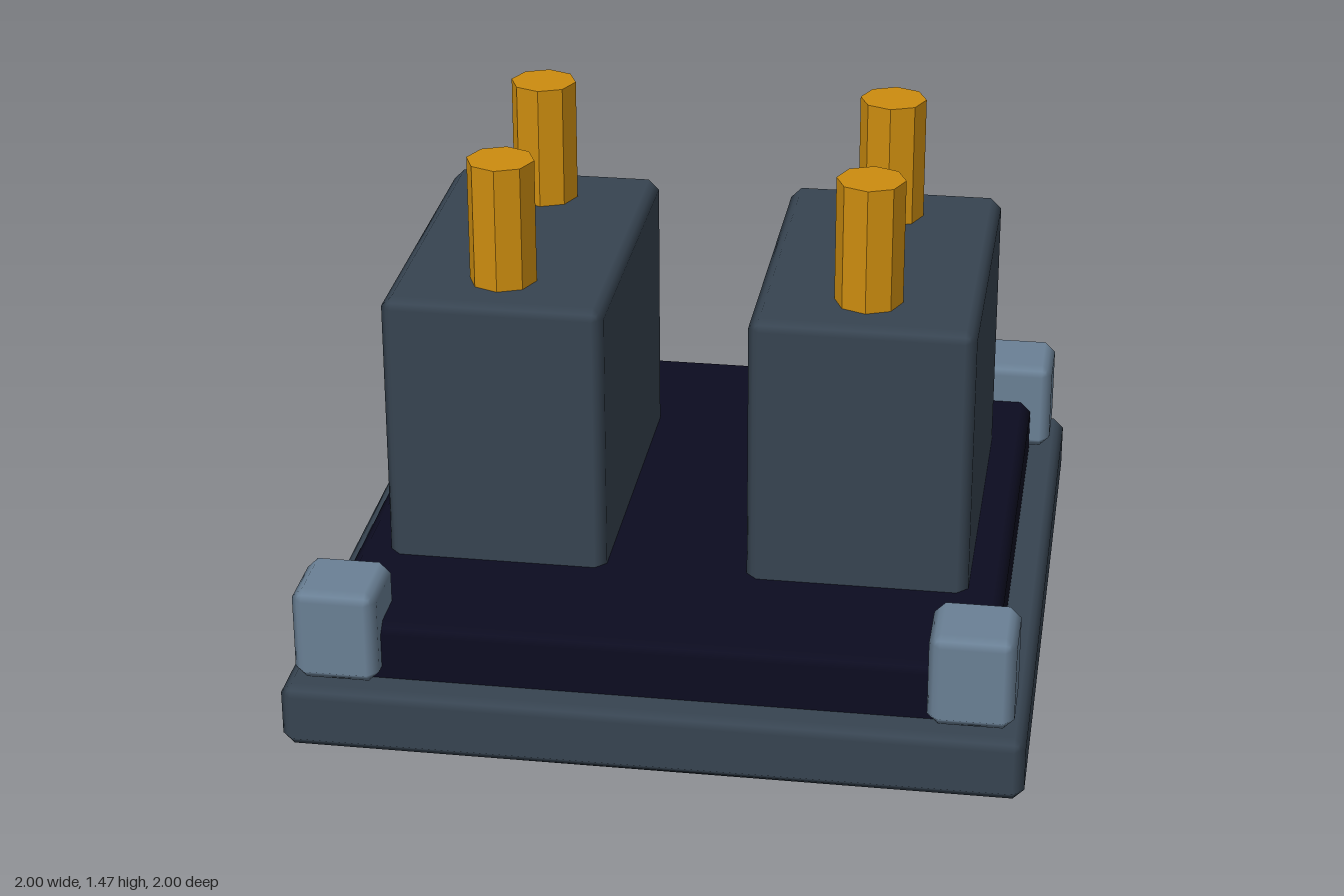
import * as THREE from 'three';

const mat = (name, color) => Object.assign(new THREE.MeshStandardMaterial({ color }), { name });

// Box with a single-step bevel of size r and smoothly blended edge normals
function bevelBox(w, h, d, r) {
  const geo = new THREE.BoxGeometry(w, h, d, 3, 3, 3);
  const half = [w / 2, h / 2, d / 2];
  const { position, normal } = geo.attributes;
  const v = new THREE.Vector3();
  const n = new THREE.Vector3();
  for (let i = 0; i < position.count; i++) {
    v.fromBufferAttribute(position, i);
    const c = v.toArray();
    const outer = c.map((x, k) => (Math.abs(x) > half[k] * 0.9 ? 1 : 0));
    const sum = outer[0] + outer[1] + outer[2];
    const p = c.map((x, k) => Math.sign(x) * (half[k] - r + (r * outer[k]) / sum));
    position.setXYZ(i, ...p);
    n.fromArray(c.map((x, k) => Math.sign(x) * outer[k])).normalize();
    normal.setXYZ(i, n.x, n.y, n.z);
  }
  return geo;
}

export function createModel() {
  const group = new THREE.Group();
  const slate = mat('slate', 0x374451);
  const steel = mat('steel blue', 0x6a8095);
  const navy = mat('dark navy', 0x0c0c20);
  const amber = mat('amber', 0xcc8c0f);
  const cylinder = (r, h) => new THREE.CylinderGeometry(r, r, h, 8).toNonIndexed();

  const add = (name, geo, material, x, y, z) => {
    const mesh = new THREE.Mesh(geo, material);
    mesh.name = name;
    mesh.position.set(x, y, z);
    group.add(mesh);
  };

  // Base plate and the raised deck on it
  add('basePlate', bevelBox(2, 0.185, 2, 0.03), slate, 0, 0.0925, 0);
  add('deck', bevelBox(1.81, 0.2, 1.81, 0.03), navy, 0, 0.245, 0);

  // Octagonal post with flat facets
  const postGeo = cylinder(0.093, 0.385);
  postGeo.computeVertexNormals();
  const blockGeo = bevelBox(0.61, 0.815, 1, 0.03);
  const cornerGeo = bevelBox(0.23, 0.27, 0.23, 0.03);

  for (const sx of [1, -1]) {
    const side = sx > 0 ? 'left' : 'right';
    add(`${side}Block`, blockGeo, slate, sx * 0.5, 0.7075, 0);
    for (const sz of [1, -1]) {
      const end = sz > 0 ? 'Front' : 'Back';
      add(`${side}${end}Post`, postGeo, amber, sx * 0.5, 1.2725, sz * 0.31);
      add(`${side}${end}CornerBlock`, cornerGeo, steel, sx * 0.85, 0.325, sz * 0.85);
    }
  }
  return group;
}
